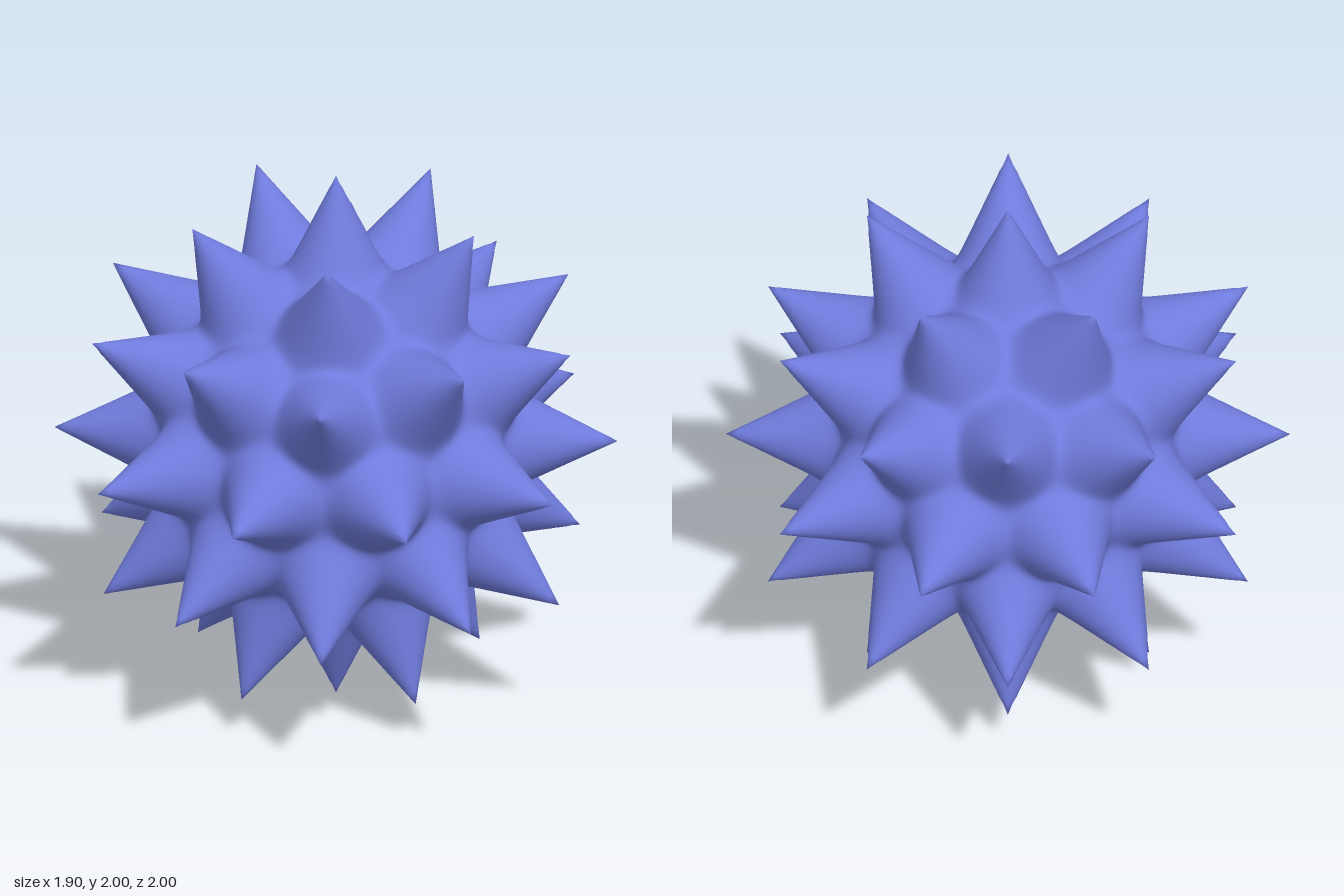
import * as THREE from 'three';
import { mergeVertices } from 'three/addons/utils/BufferGeometryUtils.js';

// Welded icosphere turned so that one of its twelve corners points straight up
function icosphere(detail) {
  const geometry = new THREE.IcosahedronGeometry(1, detail);
  geometry.deleteAttribute('uv');
  geometry.deleteAttribute('normal');
  geometry.rotateZ(-Math.atan(2 / (1 + Math.sqrt(5))));
  return mergeVertices(geometry, 1e-4);
}

function pointsOf(geometry) {
  const position = geometry.attributes.position;
  return Array.from({ length: position.count }, (_, i) =>
    new THREE.Vector3().fromBufferAttribute(position, i).normalize());
}

// Distance from the centre to a unit-high cone, at an angle away from its axis
const SLOPE = 0.48;
const coneRadius = (angle) => SLOPE / (Math.sin(angle) + SLOPE * Math.cos(angle));

// Cones blended with a smooth maximum, which rounds the valleys between them
const SHARPNESS = 32;
function surfaceRadius(direction, axes) {
  let sum = 0;
  for (const axis of axes) {
    const angle = direction.angleTo(axis);
    if (angle < 1) sum += Math.exp(SHARPNESS * (coneRadius(angle) - 1));
  }
  return 1 + Math.log(sum) / SHARPNESS;
}

export function createModel() {
  const group = new THREE.Group();
  group.name = 'spikyBall';

  // 42 spikes: the icosahedron corners and its edge midpoints
  const axes = pointsOf(icosphere(1));

  // Fine sphere pulled out into the spikes
  const geometry = icosphere(59);
  pointsOf(geometry).forEach((direction, i) => {
    const p = direction.clone().multiplyScalar(surfaceRadius(direction, axes));
    geometry.attributes.position.setXYZ(i, p.x, p.y, p.z);
  });
  geometry.computeVertexNormals();

  const body = new THREE.Mesh(geometry, new THREE.MeshStandardMaterial({ color: 0x6f7bdc }));
  body.name = 'spikedShell';
  body.position.y = 1;
  group.add(body);
  return group;
}
